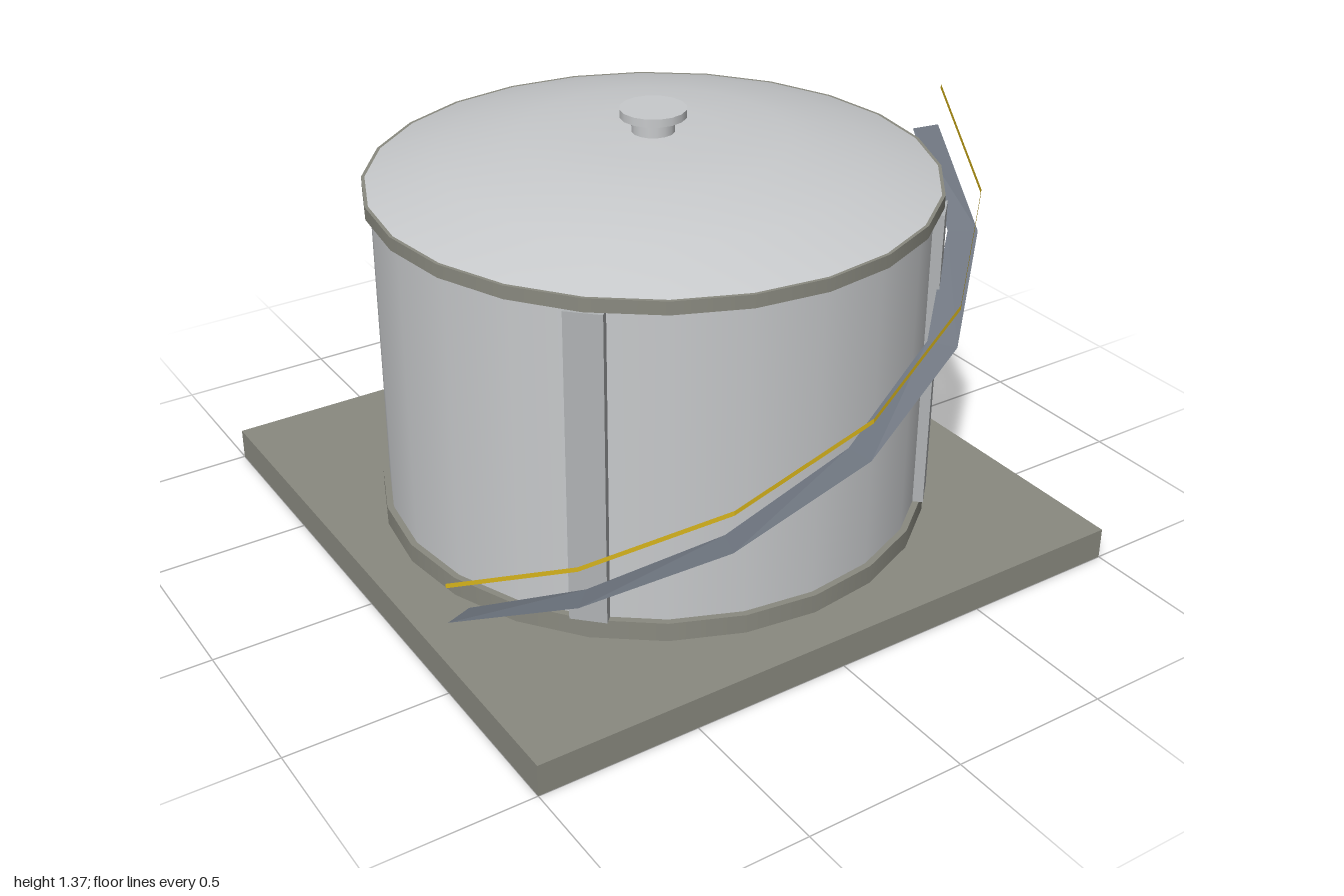
import * as THREE from 'three';

const material = (name, color, side = THREE.FrontSide) => {
  const m = new THREE.MeshStandardMaterial({ color, side });
  m.name = name;
  return m;
};

// Strip between two helices of 6 straight segments; edges are [radius, lift].
function helixStrip(first, second) {
  const steps = 6, points = [];
  const at = ([radius, lift], i) => {
    const a = THREE.MathUtils.degToRad(160 - 25 * i);
    return [radius * Math.cos(a), 0.1 + lift + (1.07 * i) / steps, radius * Math.sin(a)];
  };
  for (let i = 0; i < steps; i++) {
    const a = at(first, i), b = at(second, i), c = at(first, i + 1), d = at(second, i + 1);
    points.push(...a, ...b, ...c, ...b, ...d, ...c);
  }
  const g = new THREE.BufferGeometry();
  g.setAttribute('position', new THREE.Float32BufferAttribute(points, 3));
  g.computeVertexNormals();
  return g;
}

export function createModel() {
  const model = new THREE.Group();
  model.name = 'storageTank';
  const concrete = material('concrete', 0x8a8a80, THREE.DoubleSide);
  const steel = material('paintedSteel', 0xc8cacc, THREE.DoubleSide);
  const trim = material('trimSteel', 0xb0b3b5);
  const tread = material('stairTread', 0x6c737d, THREE.DoubleSide);
  const yellow = material('railYellow', 0xd6b31c, THREE.DoubleSide);

  const add = (name, geometry, mat, y = 0) => {
    const mesh = new THREE.Mesh(geometry, mat);
    mesh.name = name;
    mesh.position.y = y;
    model.add(mesh);
    return mesh;
  };
  const drum = (name, radius, y0, y1, sides, mat, open = false) =>
    add(name, new THREE.CylinderGeometry(radius, radius, y1 - y0, sides, 1, open), mat, (y0 + y1) / 2);

  // Foundation slab, hollow and open underneath
  const slab = new THREE.BoxGeometry(2, 0.1, 2);
  slab.setIndex([...slab.index.array].filter((_, i) => i < 18 || i >= 24));
  slab.clearGroups();
  add('foundation', slab, concrete, 0.05);

  // Shell with its bottom and top rings
  drum('bottomRing', 0.86, 0.1, 0.16, 24, concrete);
  drum('shell', 0.84, 0.16, 1.13, 24, steel, true);
  drum('topRing', 0.86, 1.13, 1.17, 24, concrete);

  // Shallow domed roof
  const profile = [[0.85, 1.17], [0.645, 1.236], [0.405, 1.284], [0.2, 1.296], [0, 1.3]]
    .map(([r, y]) => new THREE.Vector2(r, y));
  add('roof', new THREE.LatheGeometry(profile, 24), steel);

  // Roof vent
  drum('ventNeck', 0.065, 1.29, 1.345, 16, steel);
  drum('ventCap', 0.1, 1.345, 1.37, 16, steel);

  // Four vertical stiffeners on the diagonals
  for (let i = 0; i < 4; i++) {
    const a = Math.PI / 4 + (i * Math.PI) / 2;
    const rib = add('stiffener', new THREE.BoxGeometry(0.11, 0.97, 0.05), trim, 0.645);
    rib.position.x = 0.84 * Math.sin(a);
    rib.position.z = 0.84 * Math.cos(a);
    rib.rotation.y = a;
  }

  // Spiral stair ramp and its handrail
  add('spiralStair', helixStrip([0.88, 0], [0.97, 0]), tread);
  add('handrail', helixStrip([0.97, 0.135], [0.97, 0.12]), yellow);

  return model;
}
